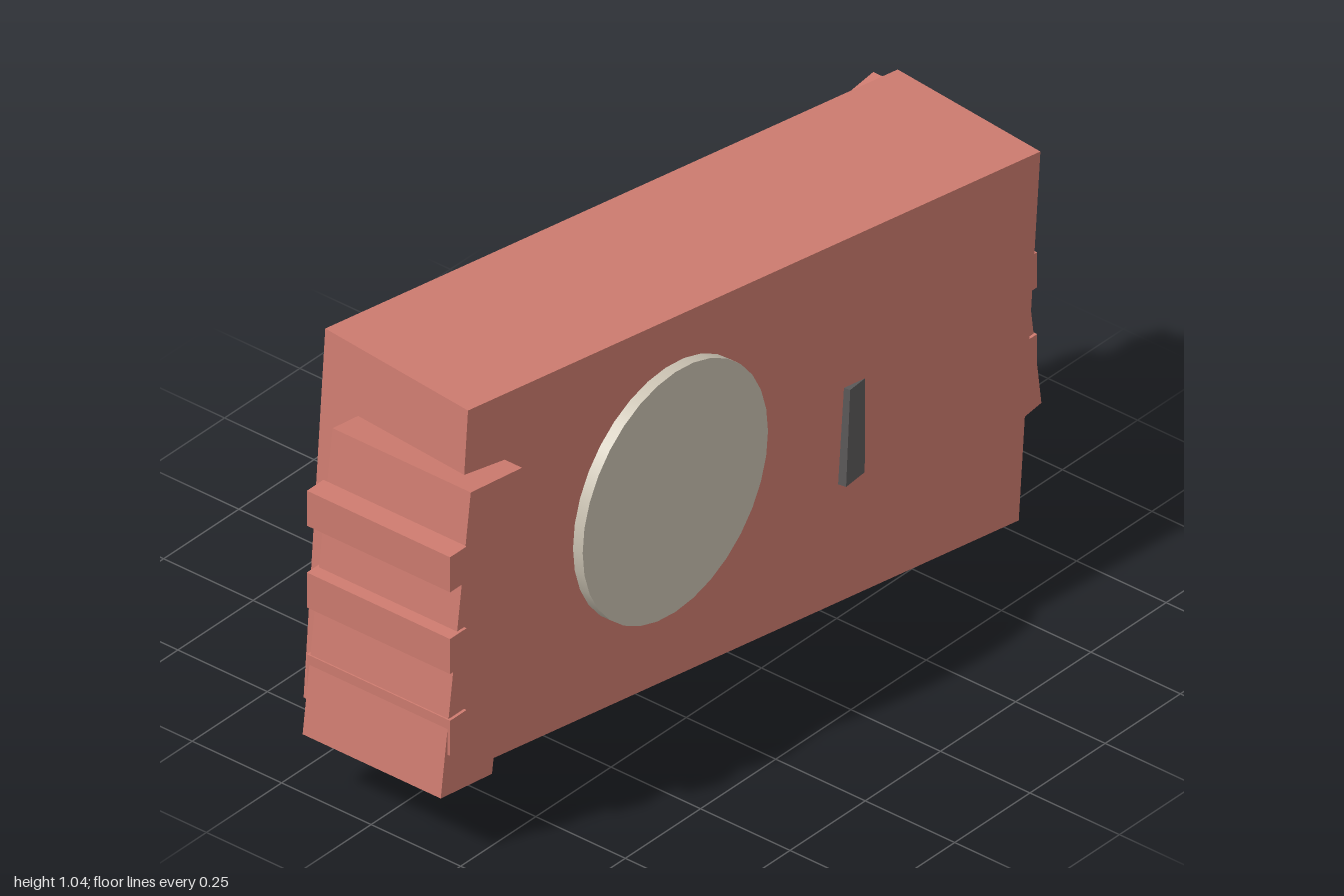
import * as THREE from 'three';

export function createModel() {
  const model = new THREE.Group();
  const material = (name, color) => {
    const m = new THREE.MeshStandardMaterial({ color });
    m.name = name;
    return m;
  };
  const coral = material('coral', 0xcf7c70);
  const cream = material('cream', 0xcac2b2);
  const charcoal = material('charcoal', 0x5c5a5a);

  const box = (name, mat, size, pos, parent = model) => {
    const mesh = new THREE.Mesh(new THREE.BoxGeometry(...size), mat);
    mesh.name = name;
    mesh.position.set(...pos);
    parent.add(mesh);
    return mesh;
  };

  // Tilted and slightly turned main block
  const body = box('body', coral, [1.704, 0.92, 0.44], [0, 0.519, 0]);
  body.rotation.set(0, -0.105, -0.07, 'YXZ');

  // Mirrored side grips, each with three level ribs
  for (const side of [-1, 1]) {
    const grip = new THREE.Group();
    grip.name = side > 0 ? 'leftGrip' : 'rightGrip';
    model.add(grip);
    const pad = box('gripPad', coral, [0.172, 0.742, 0.386], [side * 0.863, 0.505, 0], grip);
    pad.rotation.z = side * 0.135;
    for (const y of [0.295, 0.505, 0.715]) {
      box('gripRib', coral, [0.055, 0.09, 0.4], [side * 0.948, y, 0], grip);
    }
  }

  // Round front disc
  const disc = new THREE.Mesh(new THREE.CylinderGeometry(0.308, 0.308, 0.027, 32), cream);
  disc.name = 'frontDisc';
  disc.rotation.x = Math.PI / 2;
  disc.position.set(-0.3, 0.61, 0.248);
  model.add(disc);

  // Dark slot plate, partly sunk in the front
  const slot = box('slotPlate', charcoal, [0.075, 0.24, 0.04], [0.302, 0.458, 0.2415]);
  slot.rotation.set(0, 0.15, -0.07, 'YXZ');

  // Small button on the side
  box('sideButton', cream, [0.06, 0.05, 0.015], [0.828, 0.473, 0.232]);

  return model;
}
